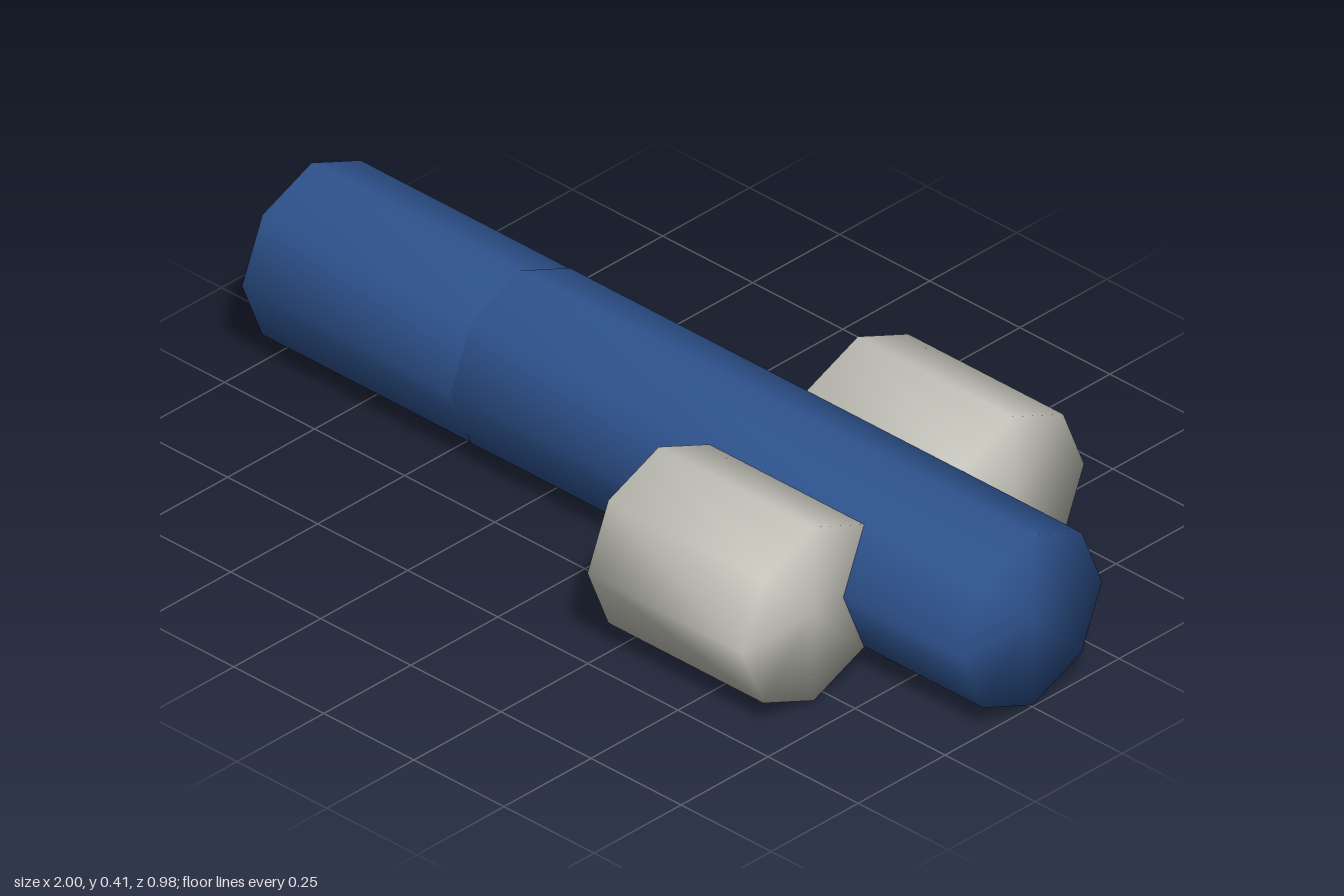
import * as THREE from 'three';
import { mergeVertices } from 'three/addons/utils/BufferGeometryUtils.js';

const AXIS_Y = 0.207;

// Closed eight-sided tube along x, with normals shared between sides and caps
function octagonTube(name, x0, x1, radius, z, material) {
  let geometry = new THREE.CylinderGeometry(radius, radius, x1 - x0, 8);
  geometry.rotateZ(-Math.PI / 2);
  geometry.deleteAttribute('normal');
  geometry.deleteAttribute('uv');
  geometry = mergeVertices(geometry);
  geometry.computeVertexNormals();
  const mesh = new THREE.Mesh(geometry, material);
  mesh.name = name;
  mesh.position.set((x0 + x1) / 2, AXIS_Y, z);
  return mesh;
}

export function createModel() {
  const blue = new THREE.MeshStandardMaterial({ color: 0x2f5490 });
  blue.name = 'blue';
  const grey = new THREE.MeshStandardMaterial({ color: 0xc6c5bc });
  grey.name = 'warm grey';

  const model = new THREE.Group();
  model.name = 'model';

  // Long body: a rear section sleeved into the front section
  model.add(octagonTube('rearBody', -1, 0.3, 0.2, 0, blue));
  model.add(octagonTube('frontBody', -0.42, 1, 0.201, 0, blue));

  // Short pods on both sides
  for (const side of [1, -1]) {
    model.add(octagonTube(side > 0 ? 'frontPod' : 'backPod', 0.24, 0.67, 0.205, side * 0.286, grey));
  }
  return model;
}
